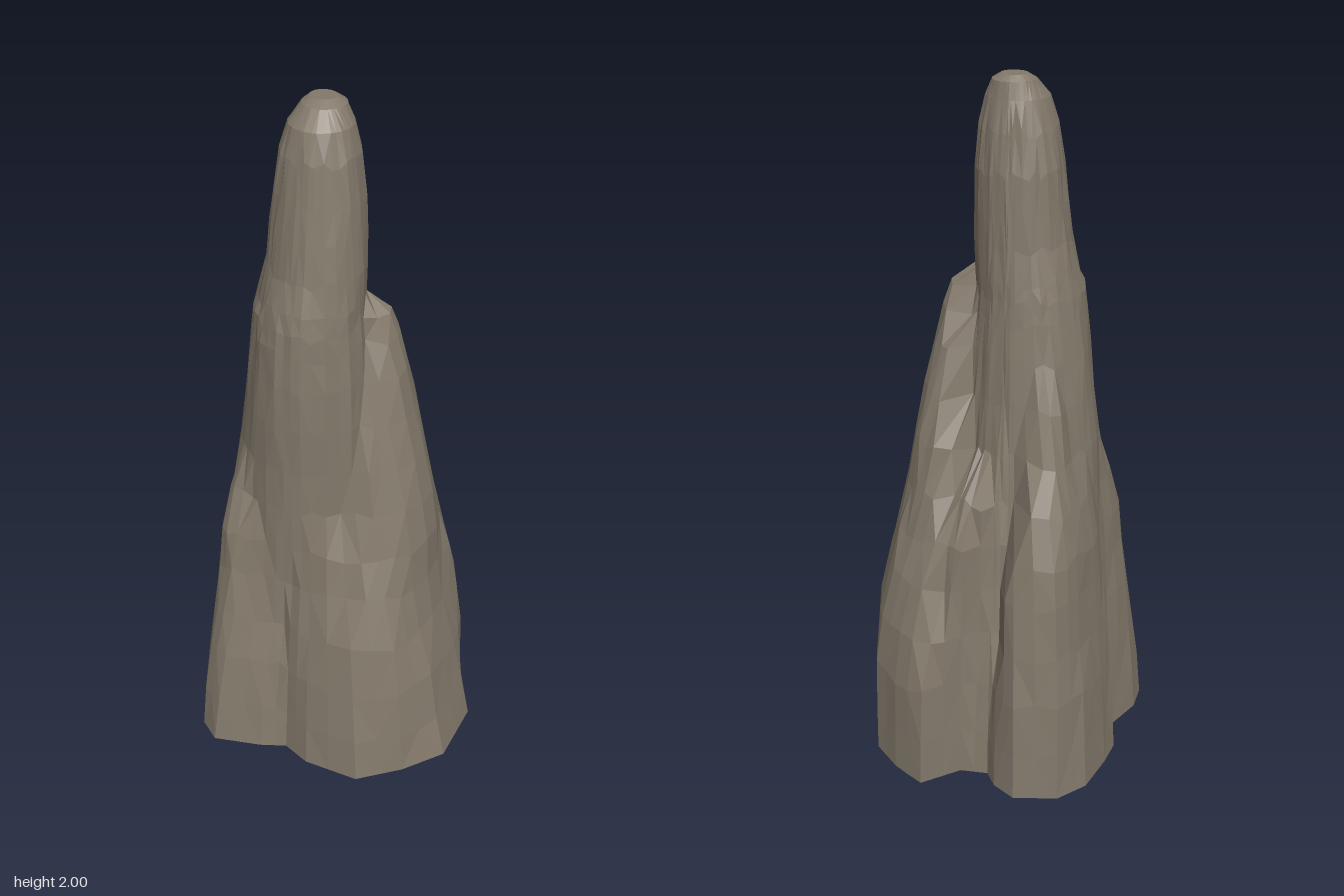
import * as THREE from 'three';

// Ground outline [x, z], running from +x round towards +z
const FOOT = [
  [0.435, 0.11], [0.36, 0.23], [0.26, 0.335], [0.09, 0.35], [0, 0.325], [-0.07, 0.365],
  [-0.205, 0.418], [-0.275, 0.38], [-0.31, 0.3], [-0.315, 0.17], [-0.385, 0.09], [-0.41, 0.01],
  [-0.437, -0.12], [-0.41, -0.22], [-0.31, -0.3], [-0.23, -0.29], [-0.18, -0.26], [-0.11, -0.3],
  [-0.06, -0.42], [0.05, -0.41], [0.15, -0.38], [0.22, -0.31], [0.32, -0.19], [0.41, -0.09],
];
// Main spire: [height, centre x, centre z, radius x, radius z, diagonal stretch]
const SPIRE = [
  [0, -0.08, 0.06, 0.24, 0.22, 0], [0.6, -0.08, 0.055, 0.23, 0.21, 0.02],
  [0.95, -0.08, 0.055, 0.215, 0.197, 0.05], [1.2, -0.07, 0.063, 0.193, 0.186, 0.08],
  [1.4, -0.067, 0.066, 0.168, 0.168, 0.09], [1.55, -0.05, 0.05, 0.147, 0.144, 0.07],
  [1.75, -0.048, 0.035, 0.13, 0.124, 0.04], [1.86, -0.046, 0.033, 0.112, 0.108, 0.03],
  [1.94, -0.045, 0.03, 0.088, 0.087, 0], [1.985, -0.048, 0.012, 0.06, 0.06, 0], [2, -0.052, 0.008, 0.038, 0.035, 0],
];
// Shoulders: the foot shrinks towards a peak; rows are [height, side scale, back scale, front scale]
const RIGHT_PEAK = {
  x: 0.1, z: -0.02,
  isBack: (p) => p[0] > -0.15 && p[1] < -0.15,
  isFront: (p) => p[0] > 0 && p[1] > 0.2,
  rows: [[0, 1, 1, 1], [0.14, 0.92, 0.99, 0.96], [0.3, 0.82, 0.98, 0.91], [0.45, 0.68, 0.92, 0.83],
    [0.6, 0.61, 0.81, 0.68], [0.72, 0.6, 0.7, 0.59], [0.85, 0.54, 0.6, 0.5], [1, 0.44, 0.51, 0.41],
    [1.15, 0.34, 0.39, 0.32], [1.33, 0.22, 0.25, 0.2], [1.41, 0.12, 0.13, 0.11], [1.46, 0, 0, 0]],
};
const LEFT_PEAK = {
  x: -0.2, z: 0.02,
  isBack: (p) => p[0] < -0.2 && p[1] < -0.15,
  isFront: () => false,
  rows: [[0, 1, 1], [0.3, 0.89, 0.96], [0.6, 0.73, 0.87], [0.72, 0.69, 0.81], [0.85, 0.57, 0.67],
    [0.95, 0.42, 0.52], [1.2, 0.2, 0.32], [1.35, 0, 0.15], [1.46, 0, 0]],
};
const AXIS = [-0.045, 0.02];
const LEVELS = [0, 0.14, 0.3, 0.45, 0.6, 0.72, 0.85, 0.98, 1.12, 1.25, 1.35, 1.41, 1.46, 1.55,
  1.65, 1.75, 1.86, 1.94, 1.985, 2];

// Linear lookup in a table sorted by its first column
function sample(rows, y, col) {
  for (let i = 1; i < rows.length; i++) {
    if (y <= rows[i][0]) {
      const [a, b] = [rows[i - 1], rows[i]];
      return THREE.MathUtils.lerp(a[col], b[col], (y - a[0]) / (b[0] - a[0]));
    }
  }
  return rows[rows.length - 1][col];
}

function spireSection(y) {
  const [cx, cz, rx, rz, stretch] = [1, 2, 3, 4, 5].map((c) => sample(SPIRE, y, c));
  return Array.from({ length: 16 }, (_, i) => {
    const a = (i / 16) * Math.PI * 2;
    const s = 1 + stretch * Math.sin(2 * a);
    return [cx + rx * s * Math.cos(a), cz + rz * s * Math.sin(a)];
  });
}

function peakSection({ x, z, isBack, isFront, rows }, y) {
  return FOOT.map((p) => {
    const s = sample(rows, y, isBack(p) ? 2 : isFront(p) ? 3 : 1);
    return [x + (p[0] - x) * s, z + (p[1] - z) * s];
  });
}

// Farthest distance from the axis at which a ray leaves a section
function reach(section, angle) {
  const dx = Math.cos(angle), dz = Math.sin(angle);
  let far = 0;
  section.forEach((p, i) => {
    const q = section[(i + 1) % section.length];
    const px = p[0] - AXIS[0], pz = p[1] - AXIS[1], ex = q[0] - p[0], ez = q[1] - p[1];
    const det = dx * ez - dz * ex;
    if (Math.abs(det) < 1e-9) return;
    const t = (px * ez - pz * ex) / det;
    const u = (px * dz - pz * dx) / det;
    if (t > far && u >= -1e-6 && u <= 1 + 1e-6) far = t;
  });
  return far;
}

function rockGeometry() {
  let seed = 7;
  const random = () => (seed = (seed * 16807) % 2147483647) / 2147483647 - 0.5;

  // One ray through each foot corner and one between each pair
  const corners = FOOT.map((p) => Math.atan2(p[1] - AXIS[1], p[0] - AXIS[0]));
  const angles = corners.flatMap((a, i) => {
    let b = corners[(i + 1) % corners.length];
    if (b < a) b += Math.PI * 2;
    return [a, (a + b) / 2];
  });
  const n = angles.length;
  const points = [];
  const index = [];

  // Rings: the union of spire and shoulders, slightly weathered
  LEVELS.forEach((y, j) => {
    const sections = [spireSection(y)];
    if (y < 1.46) sections.push(peakSection(RIGHT_PEAK, y), peakSection(LEFT_PEAK, y));
    const inner = j > 0 && y < 1.9;
    angles.forEach((a) => {
      const r = Math.max(...sections.map((s) => reach(s, a))) * (inner ? 1 + random() * 0.018 : 1);
      const x = AXIS[0] + r * Math.cos(a);
      // The foot rises a little on the left side
      const lift = inner ? random() * 0.03 : j === 0 ? Math.max(0, x) * 0.05 : 0;
      points.push(new THREE.Vector3(x, y + lift, AXIS[1] + r * Math.sin(a)));
    });
    if (j === 0) return;
    // Split each quad along its shorter diagonal
    for (let i = 0; i < n; i++) {
      const k = (i + 1) % n;
      const a = (j - 1) * n + i, b = (j - 1) * n + k, c = j * n + i, d = j * n + k;
      if (points[b].distanceTo(points[c]) < points[a].distanceTo(points[d])) index.push(a, c, b, b, c, d);
      else index.push(a, c, d, a, d, b);
    }
  });

  // Blunt tip; the underside stays open
  const tip = points.length;
  points.push(new THREE.Vector3(-0.052, 2, 0.008));
  for (let i = 0; i < n; i++) index.push(tip - n + i, tip, tip - n + ((i + 1) % n));

  const geometry = new THREE.BufferGeometry().setFromPoints(points);
  geometry.setIndex(index);
  geometry.computeVertexNormals();
  return geometry;
}

export function createModel() {
  const stone = new THREE.MeshStandardMaterial({ color: 0x83796b, flatShading: true, side: THREE.DoubleSide });
  stone.name = 'grey brown stone';
  const rock = new THREE.Mesh(rockGeometry(), stone);
  rock.name = 'rockSpire';
  const model = new THREE.Group();
  model.name = 'stalagmite';
  model.add(rock);
  return model;
}
